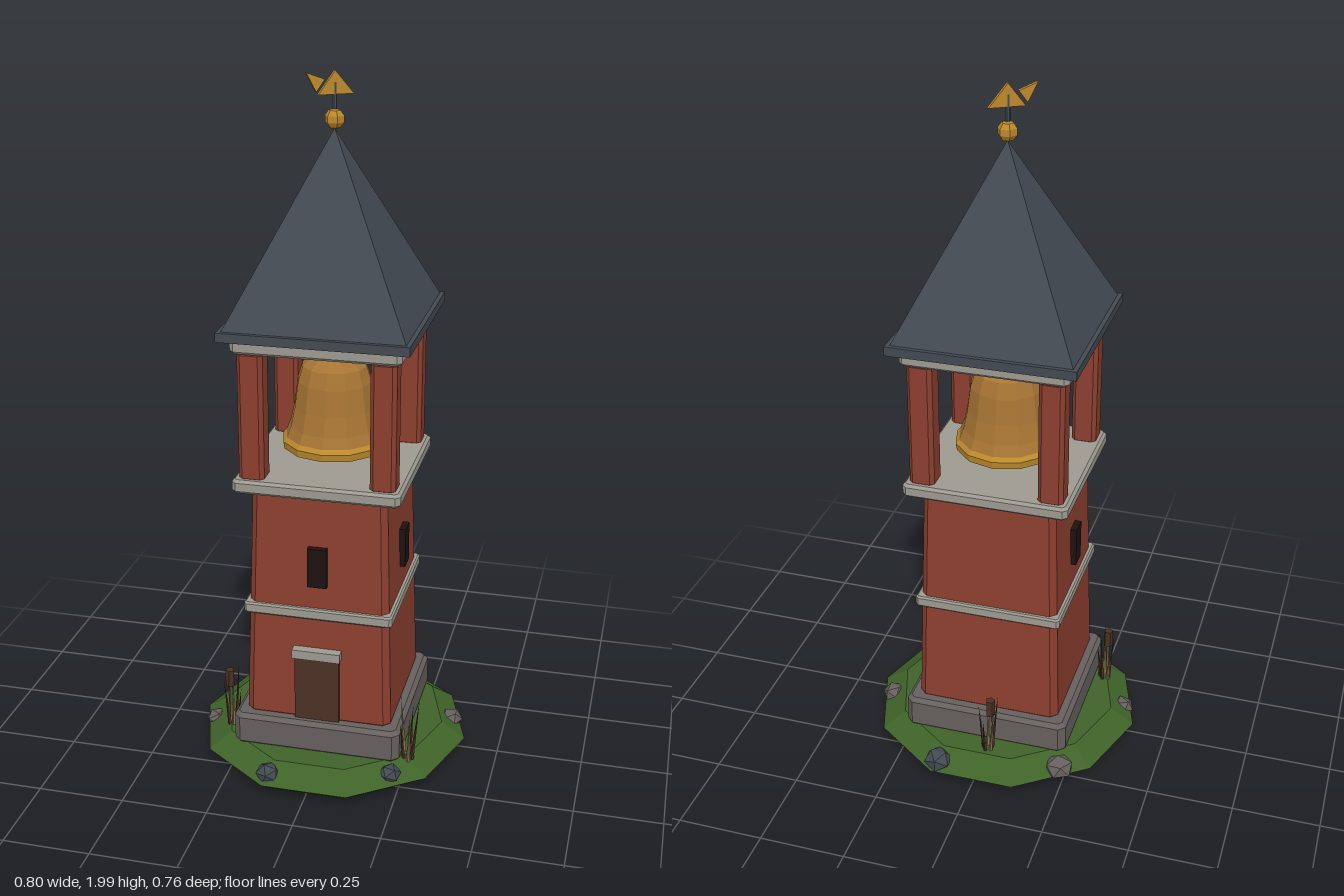
import * as THREE from 'three';

const paint = (name, color) => Object.assign(new THREE.MeshStandardMaterial({ color }), { name });

export function createModel() {
  const mat = {
    brick: paint('brick red', 0x8c3f2f),
    slate: paint('slate', 0x434a52),
    stone: paint('pale stone', 0x9c9a90),
    granite: paint('grey granite', 0x66605e),
    gold: paint('gold', 0xbd8a2c),
    bronze: paint('bell bronze', 0xa87534),
    wood: paint('brown wood', 0x4c3024),
    dark: paint('dark opening', 0x1e1210),
    grass: paint('grass', 0x3f6329),
    reed: paint('dry reed', 0x857550),
  };
  mat.bronze.side = THREE.DoubleSide;

  const tower = new THREE.Group();
  tower.name = 'bellTower';

  // Adds a mesh with faceted normals
  function add(name, geo, material, x = 0, y = 0, z = 0, parent = tower) {
    const flat = geo.index ? geo.toNonIndexed() : geo;
    flat.computeVertexNormals();
    const mesh = new THREE.Mesh(flat, material);
    mesh.name = name;
    mesh.position.set(x, y, z);
    parent.add(mesh);
    return mesh;
  }

  // Square block with every edge chamfered, standing on y = 0; top scales its upper end
  function block(half, h, b, top = 1) {
    const a = half - b, c = a - b;
    const s = new THREE.Shape([[a, c], [c, a], [-c, a], [-a, c], [-a, -c], [-c, -a], [c, -a], [a, -c]]
      .map(([x, y]) => new THREE.Vector2(x, y)));
    const g = new THREE.ExtrudeGeometry(s, {
      depth: h - 2 * b, bevelEnabled: true, bevelSegments: 1, bevelSize: b, bevelThickness: b,
    });
    g.translate(0, 0, b).rotateX(-Math.PI / 2);
    const p = g.attributes.position;
    for (let i = 0; i < p.count; i++) {
      const k = 1 + (top - 1) * p.getY(i) / h;
      p.setXYZ(i, p.getX(i) * k, p.getY(i), p.getZ(i) * k);
    }
    return g;
  }
  const box = (w, h, d) => new THREE.BoxGeometry(w, h, d);
  const lathe = (pts, n) => new THREE.LatheGeometry(pts.map(([r, y]) => new THREE.Vector2(r, y)), n);

  // Ten-sided grass mound
  add('ground', lathe([[0, 0.01], [0.36, 0.01], [0.4, 0.04], [0.33, 0.087], [0, 0.087]], 10)
    .rotateY(Math.PI / 10), mat.grass);

  // Tower shaft and its stone courses
  add('plinth', block(0.245, 0.1, 0.012), mat.granite, 0, 0.08);
  add('shaft', block(0.213, 0.71, 0.012, 0.9), mat.brick, 0, 0.172);
  add('middleBand', block(0.215, 0.033, 0.005), mat.stone, 0, 0.5);
  add('belfryFloor', block(0.237, 0.04, 0.008), mat.stone, 0, 0.877);

  // Door, lintel and three windows
  add('door', box(0.13, 0.21, 0.03), mat.wood, 0, 0.28, 0.206);
  add('doorLintel', box(0.14, 0.027, 0.05), mat.stone, 0, 0.394, 0.209);
  for (const [name, a] of [['frontWindow', 0], ['leftWindow', Math.PI / 2], ['rightWindow', -Math.PI / 2]]) {
    add(name, box(0.055, 0.118, 0.03), mat.dark, 0.2 * Math.sin(a), 0.662, 0.2 * Math.cos(a)).rotation.y = a;
  }

  // Open belfry
  for (const x of [-1, 1]) {
    for (const z of [-1, 1]) {
      add('belfryPillar', block(0.036, 0.37, 0.007), mat.brick, x * 0.184, 0.911, z * 0.184);
    }
  }
  add('cornice', block(0.235, 0.043, 0.008), mat.stone, 0, 1.28);
  add('bellBeam', box(0.32, 0.05, 0.066), mat.wood, 0, 1.256);

  // Bell with rim and clapper
  add('bell', lathe([[0.147, 0.972], [0.128, 1.02], [0.116, 1.075], [0.106, 1.15], [0.092, 1.195],
    [0.058, 1.23], [0, 1.24]], 12), mat.bronze);
  add('bellRim', lathe([[0.125, 0.975], [0.13, 0.957], [0.147, 0.957], [0.15, 0.978], [0.14, 0.99]], 12), mat.gold);
  add('clapperRod', new THREE.CylinderGeometry(0.008, 0.008, 0.26, 6), mat.slate, 0, 1.09);
  add('clapper', new THREE.IcosahedronGeometry(0.03, 1), mat.slate, 0, 0.96);

  // Pyramid roof on an eave slab
  add('eaves', box(0.524, 0.026, 0.524), mat.slate, 0, 1.333);
  add('roof', new THREE.ConeGeometry(0.25 * Math.SQRT2, 0.505, 4).rotateY(Math.PI / 4), mat.slate, 0, 1.5975);

  // Finial and weathervane
  add('finialBall', new THREE.SphereGeometry(0.028, 6, 5), mat.gold, 0, 1.874);
  add('vaneRod', new THREE.CylinderGeometry(0.007, 0.007, 0.12, 6), mat.slate, 0, 1.91);
  const vane = new THREE.Group();
  vane.name = 'weathervane';
  vane.rotation.y = 0.55;
  tower.add(vane);
  const plate = (name, pts) => add(name, new THREE.ExtrudeGeometry(
    new THREE.Shape(pts.map(([x, y]) => new THREE.Vector2(x, y))),
    { depth: 0.012, bevelEnabled: false }).translate(0, 0, -0.006), mat.gold, 0, 0, 0, vane);
  plate('vaneHead', [[-0.047, 1.938], [0.052, 1.938], [0, 2]]);
  plate('vaneTail', [[-0.052, 1.946], [-0.028, 1.978], [-0.079, 1.997]]);

  // Boulders round the rim
  [[0.11, 0.06, -0.345, 0.043, 'slate'], [-0.24, 0.06, -0.275, 0.044, 'granite'],
    [0.345, 0.055, -0.08, 0.036, 'granite'], [-0.35, 0.045, 0.07, 0.036, 'granite'],
    [-0.115, 0.06, 0.34, 0.037, 'slate'], [0.225, 0.06, 0.262, 0.034, 'slate']]
    .forEach(([x, y, z, r, m], i) => {
      const rock = add('boulder', new THREE.IcosahedronGeometry(r, 0).rotateY(i * 1.3).rotateX(i * 0.7),
        mat[m], x, y, z);
      rock.scale.y = 0.8;
    });

  // Reed clumps: leaning blades, some with a brown seed head
  [[-0.275, 0.145, true], [-0.025, -0.285, true], [0.265, 0.2, false]].forEach(([x, z, head], k) => {
    const clump = new THREE.Group();
    clump.name = 'reedClump';
    clump.position.set(x, 0.075, z);
    tower.add(clump);
    for (let i = 0; i < 5; i++) {
      const h = 0.13 + 0.035 * ((i * 2 + k) % 3);
      const blade = add('reedBlade', new THREE.ConeGeometry(0.006, h, 4).translate(0, h / 2, 0),
        i % 2 ? mat.reed : mat.wood, 0.012 * Math.cos(i * 1.26), 0, 0.012 * Math.sin(i * 1.26), clump);
      blade.rotation.set(0.1 * Math.sin(i * 1.26), 0, -0.1 * Math.cos(i * 1.26));
    }
    if (head) {
      add('reedStem', new THREE.CylinderGeometry(0.004, 0.004, 0.15, 5), mat.reed, -0.008, 0.075, 0, clump);
      add('seedHead', new THREE.CylinderGeometry(0.014, 0.014, 0.052, 5), mat.wood, -0.008, 0.163, 0, clump);
    }
  });

  return tower;
}
